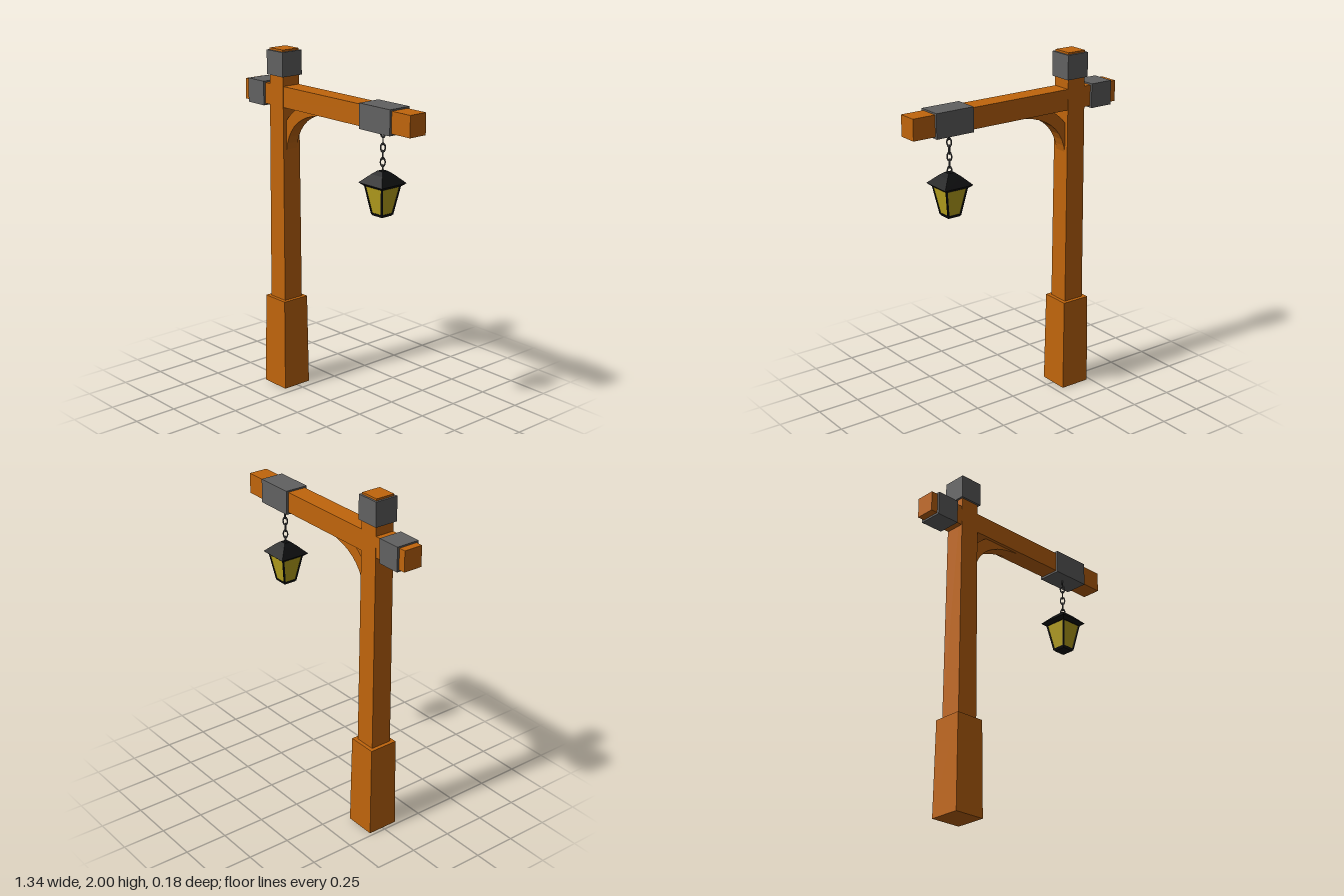
import * as THREE from 'three';

const wood = new THREE.MeshStandardMaterial({ color: 0xc0650c });
wood.name = 'wood';
const steel = new THREE.MeshStandardMaterial({ color: 0x616161 });
steel.name = 'steel';
const chainSteel = new THREE.MeshStandardMaterial({ color: 0x4a4a4a });
chainSteel.name = 'chainSteel';
const iron = new THREE.MeshStandardMaterial({ color: 0x0d0e0f });
iron.name = 'blackIron';
const glass = new THREE.MeshStandardMaterial({ color: 0xbca61f });
glass.name = 'amberGlass';

const POST_X = -0.39;
const LAMP_X = 0.415;

function add(parent, name, geometry, material, x = 0, y = 0, z = 0) {
  const mesh = new THREE.Mesh(geometry, material);
  mesh.name = name;
  mesh.position.set(x, y, z);
  parent.add(mesh);
  return mesh;
}

// Square tapered block between two heights, given half widths
function taper(y0, half0, y1, half1) {
  const g = new THREE.CylinderGeometry(half1 * Math.SQRT2, half0 * Math.SQRT2, y1 - y0, 4)
    .rotateY(Math.PI / 4)
    .translate(0, (y0 + y1) / 2, 0)
    .toNonIndexed();
  g.computeVertexNormals();
  return g;
}

function createPost() {
  const post = new THREE.Group();
  post.name = 'post';
  post.position.x = POST_X;
  add(post, 'postBase', taper(0, 0.091, 0.54, 0.085), wood);
  add(post, 'postShaft', taper(0.54, 0.063, 2, 0.057), wood);
  add(post, 'postCollar', new THREE.BoxGeometry(0.138, 0.138, 0.138), steel, 0, 1.92);
  return post;
}

function createArm() {
  const arm = new THREE.Group();
  arm.name = 'arm';
  add(arm, 'crossBeam', new THREE.BoxGeometry(1.34, 0.118, 0.112), wood, 0, 1.738);
  add(arm, 'shortCollar', new THREE.BoxGeometry(0.138, 0.138, 0.138), steel, -0.56, 1.737);
  add(arm, 'longCollar', new THREE.BoxGeometry(0.232, 0.138, 0.138), steel, 0.42, 1.737);

  // Curved brace between post and beam, with an open corner behind it
  const s = new THREE.Shape();
  s.moveTo(-0.34, 1.41);
  s.lineTo(-0.332, 1.43);
  s.quadraticCurveTo(-0.3, 1.655, 0, 1.679);
  s.lineTo(0, 1.685);
  s.lineTo(-0.235, 1.685);
  s.quadraticCurveTo(-0.295, 1.65, -0.34, 1.59);
  const brace = new THREE.ExtrudeGeometry(s, { depth: 0.074, bevelEnabled: false, curveSegments: 10 });
  add(arm, 'curvedBrace', brace, wood, 0, 0, -0.037);
  return arm;
}

function createChain() {
  const chain = new THREE.Group();
  chain.name = 'chain';
  const link = new THREE.TorusGeometry(0.0125, 0.0038, 6, 14).scale(1, 1.75, 1);
  for (let i = 0; i < 6; i++) {
    const mesh = add(chain, 'chainLink', link, chainSteel, 0, 1.655 - i * 0.039);
    mesh.rotation.y = Math.PI / 4 + (i % 2) * Math.PI / 2;
  }
  return chain;
}

function createLantern() {
  const lantern = new THREE.Group();
  lantern.name = 'lantern';
  add(lantern, 'glassBody', taper(1.22, 0.038, 1.375, 0.066), glass);
  add(lantern, 'bottomPlate', taper(1.208, 0.036, 1.223, 0.042), iron);

  // Roof: flared eave, slope and small peak
  add(lantern, 'roofEave', taper(1.37, 0.07, 1.387, 0.09), iron);
  add(lantern, 'roofSlope', taper(1.387, 0.09, 1.433, 0.043), iron);
  add(lantern, 'roofPeak', taper(1.433, 0.043, 1.452, 0.02), iron);

  // Corner bars follow the slope of the glass
  for (const sx of [-1, 1]) for (const sz of [-1, 1]) {
    const low = new THREE.Vector3(sx * 0.037, 1.215, sz * 0.037);
    const high = new THREE.Vector3(sx * 0.066, 1.38, sz * 0.066);
    const dir = high.clone().sub(low);
    const bar = add(lantern, 'cornerBar', taper(-dir.length() / 2, 0.0045, dir.length() / 2, 0.0045), iron);
    bar.position.copy(low).add(high).multiplyScalar(0.5);
    bar.quaternion.setFromUnitVectors(new THREE.Vector3(0, 1, 0), dir.normalize());
  }
  return lantern;
}

export function createModel() {
  const model = new THREE.Group();
  model.name = 'lanternPost';
  const hanging = new THREE.Group();
  hanging.name = 'hangingLamp';
  hanging.position.x = LAMP_X;
  hanging.add(createChain(), createLantern());
  model.add(createPost(), createArm(), hanging);
  return model;
}
